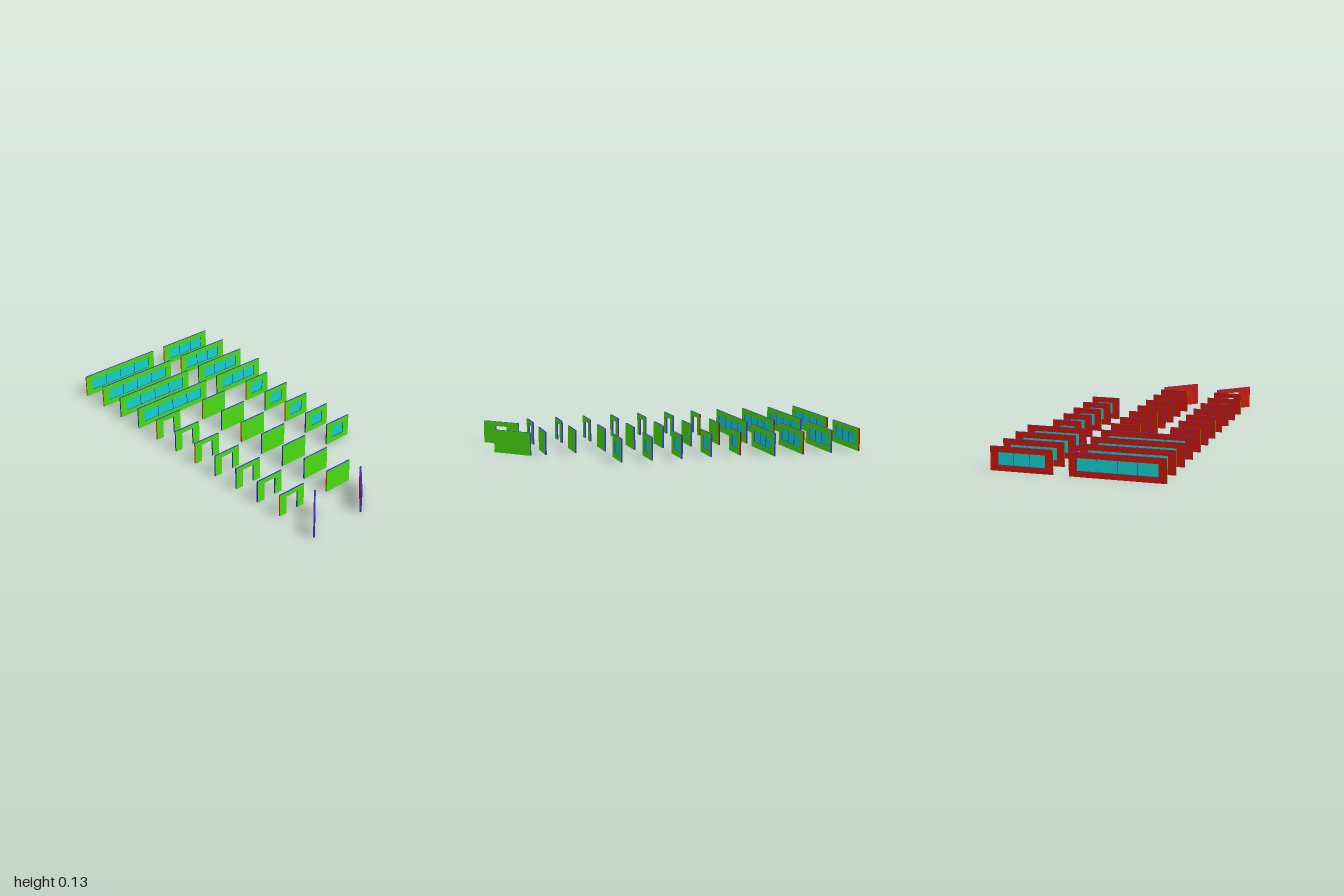
import * as THREE from 'three';

const UNIT = 0.1732, T = 0.009, H = 0.131;   // grid step, wall thickness, wall height
const SILL = 0.032, HEAD = 0.1, MARGIN = 0.043;
const DOOR_W = 0.08, DOOR_H = 0.104;

const mat = (color) => new THREE.MeshStandardMaterial({ color, side: THREE.DoubleSide });

export function createModel() {
  const green = mat(0x4adc12), red = mat(0xc81808), blue = mat(0x382cd8), cyan = mat(0x12d2cc);
  const model = new THREE.Group();

  const add = (parent, name, geo, material, x = 0, y = 0, z = 0) => {
    const m = new THREE.Mesh(geo, material);
    m.name = name;
    m.position.set(x, y, z);
    parent.add(m);
    return m;
  };

  // Strip across the wall thickness along every side of an outline
  const edgeStrips = (parent, name, pts, skip = []) => {
    pts.forEach((a, i) => {
      if (skip.includes(i)) return;
      const b = pts[(i + 1) % pts.length];
      const dx = b[0] - a[0], dy = b[1] - a[1];
      const geo = new THREE.PlaneGeometry(Math.hypot(dx, dy), T);
      geo.rotateX(Math.PI / 2);   // outward side for a counter-clockwise outline
      geo.rotateZ(Math.atan2(dy, dx));
      add(parent, name, geo, blue, (a[0] + b[0]) / 2, (a[1] + b[1]) / 2, 0);
    });
  };

  const toVec = (pts) => pts.map(([x, y]) => new THREE.Vector2(x, y));

  // One wall panel; local x runs along the wall and local z is the green outer side
  function wall(name, length, { type = 'solid', panes = 1, openFront = false, openBack = false } = {}) {
    const g = new THREE.Group();
    g.name = name;
    const l = length / 2, d = DOOR_W / 2, w = l - MARGIN;
    const outline = type === 'door'
      ? [[-l, 0], [-d, 0], [-d, DOOR_H], [d, DOOR_H], [d, 0], [l, 0], [l, H], [-l, H]]
      : [[-l, 0], [l, 0], [l, H], [-l, H]];
    const shape = new THREE.Shape(toVec(outline));
    const hole = [[-w, SILL], [-w, HEAD], [w, HEAD], [w, SILL]];
    if (type === 'window') shape.holes.push(new THREE.Path(toVec(hole)));

    // Outer and inner faces
    add(g, 'outerFace', new THREE.ShapeGeometry(shape), green, 0, 0, T / 2);
    add(g, 'innerFace', new THREE.ShapeGeometry(shape), red, 0, 0, -T / 2).material = red;

    // Edges; some ends stay open so panels can be joined
    const n = outline.length, skip = [];
    if (openFront) skip.push(n - 1);
    if (openBack) skip.push(n - 3);
    edgeStrips(g, 'edge', outline, skip);

    // Window reveal, glass and mullions
    if (type === 'window') {
      edgeStrips(g, 'windowReveal', hole);
      add(g, 'glass', new THREE.PlaneGeometry(2 * w, HEAD - SILL), cyan, 0, (SILL + HEAD) / 2, 0);
      for (let i = 1; i < panes; i++) {
        add(g, 'mullion', new THREE.BoxGeometry(0.0015, HEAD - SILL, T * 0.6), blue,
          -w + (2 * w * i) / panes, (SILL + HEAD) / 2, 0);
      }
    }
    return g;
  }

  const place = (panel, x, z, angle = Math.PI / 2) => {
    panel.position.set(x, 0, z);
    panel.rotation.y = angle;
    model.add(panel);
  };

  const colX = (k) => -0.9955 + UNIT * k;
  const rowZ = { back: -0.3025, middle: 0.0435, front: 0.3895 };
  const openFrontCols = [0, 1, 4, 6, 10], openBackCols = [0, 2, 4];

  for (let k = 0; k <= 10; k++) {
    const ends = { openFront: openFrontCols.includes(k), openBack: openBackCols.includes(k) };
    if (k < 4) {
      // Wide window walls
      place(wall('tripleWindowWall', UNIT * 3, { type: 'window', panes: 4, ...ends }), colX(k), 0.2165);
      place(wall('doubleWindowWall', UNIT * 2, { type: 'window', panes: 3, ...ends }), colX(k), rowZ.back);
    } else {
      // Single-unit walls
      if (k <= 8) place(wall('windowWall', UNIT, { type: 'window', ...ends }), colX(k), rowZ.back);
      place(wall('solidWall', UNIT, ends), colX(k), rowZ.middle);
      place(wall('doorWall', UNIT, { type: 'door', ...ends }), colX(k), rowZ.front);
    }
  }

  // Diagonal walls
  const diagonal = UNIT * Math.SQRT2, turn = Math.PI * 0.75;
  place(wall('diagonalSolidWall', diagonal), colX(11), rowZ.middle, turn);
  place(wall('diagonalDoorWall', diagonal, { type: 'door' }), colX(11), rowZ.front, turn);

  return model;
}
